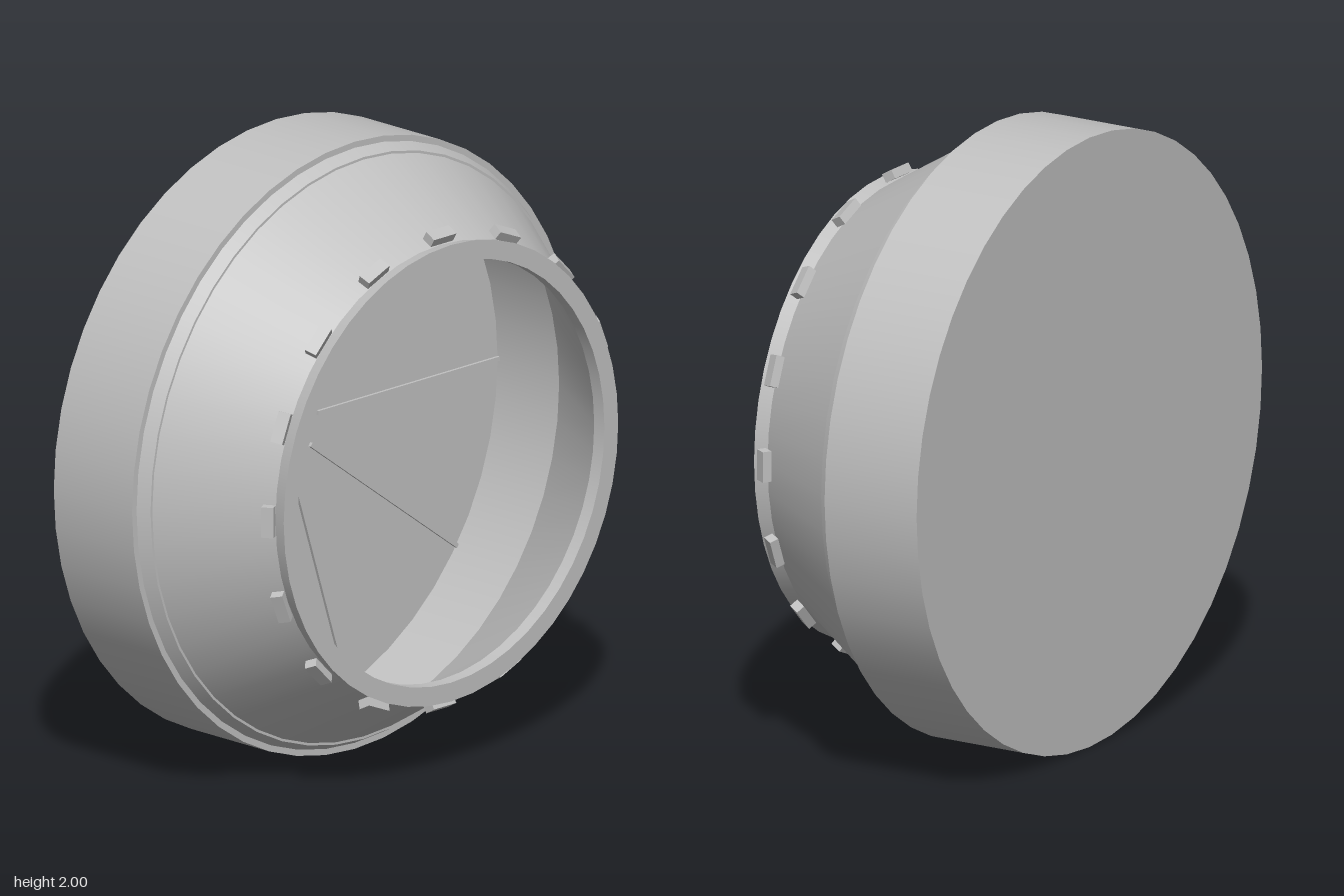
import * as THREE from 'three';

const SEGMENTS = 48;

export function createModel() {
  const grey = new THREE.MeshStandardMaterial({ color: 0xc0c0c0 });
  grey.name = 'grey';
  const model = new THREE.Group();
  model.name = 'reflectorHousing';
  model.position.y = 1;

  // Revolve each straight profile run [radius, z] on its own, keeping its edges sharp
  function turned(name, profile) {
    const group = new THREE.Group();
    group.name = name;
    for (let i = 0; i < profile.length - 1; i++) {
      const run = [profile[i], profile[i + 1]].map(([r, z]) => new THREE.Vector2(r, z));
      const geometry = new THREE.LatheGeometry(run, SEGMENTS).rotateX(Math.PI / 2);
      const mesh = new THREE.Mesh(geometry, grey);
      mesh.name = name + 'Surface';
      group.add(mesh);
    }
    model.add(group);
  }

  // Repeat a box around the axis; place() positions it for the +x direction
  function ringOf(name, count, geometry) {
    for (let i = 0; i < count; i++) {
      const mesh = new THREE.Mesh(geometry, grey);
      mesh.name = name;
      mesh.rotation.z = (i / count) * Math.PI * 2;
      model.add(mesh);
    }
  }

  // Outer shell, from the flat back to the front lip
  turned('backDrum', [[0, -0.385], [1, -0.385], [1, -0.04], [0.98, -0.04]]);
  turned('shoulder', [[0.98, -0.04], [0.958, 0], [0.95, 0]]);
  turned('cone', [[0.95, 0], [0.743, 0.34]]);
  turned('frontLip', [[0.743, 0.34], [0.752, 0.385], [0.69, 0.385], [0.69, 0.34]]);

  // Hollow interior, from the lip down to the floor
  turned('innerCone', [[0.69, 0.34], [0.92, -0.04], [0.98, -0.04]]);
  turned('innerWall', [[0.98, -0.04], [0.98, -0.37]]);
  turned('floor', [[0.98, -0.37], [0, -0.37]]);

  // Thin radial ribs on the floor
  ringOf('floorRib', 10, new THREE.BoxGeometry(0.815, 0.014, 0.012).translate(0.5725, 0, -0.366));

  // Small tabs lying along the cone just behind the lip
  const tab = new THREE.BoxGeometry(0.03, 0.1, 0.04)
    .rotateY(-Math.PI / 6)
    .translate(0.77, 0, 0.335);
  ringOf('rimTab', 16, tab);

  return model;
}
